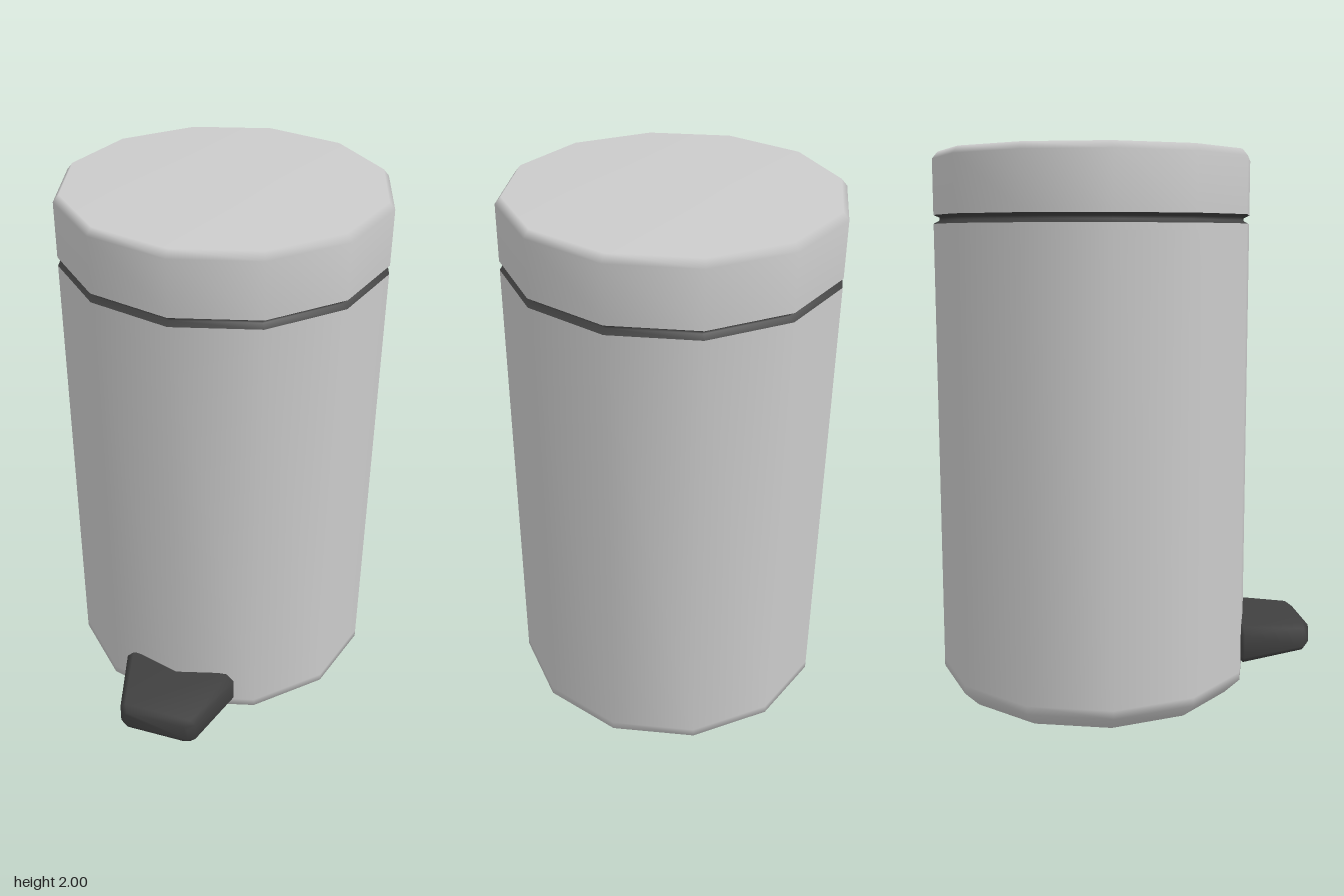
import * as THREE from 'three';

const SIDES = 12;
const CENTER_Z = -0.115;

// Twelve-sided smooth turned part from [radius, height] pairs
function turned(name, profile, material) {
  const points = profile.map(([r, y]) => new THREE.Vector2(r, y));
  const mesh = new THREE.Mesh(new THREE.LatheGeometry(points, SIDES), material);
  mesh.name = name;
  mesh.position.z = CENTER_Z;
  return mesh;
}

// Octagonal cross-sections joined along z, closed at both ends
function loft(sections) {
  const positions = [], index = [];
  const n = 8;
  for (const { z, w, y0, y1, c } of sections) {
    positions.push(
      w, y0 + c, z, w, y1 - c, z, w - c, y1, z, c - w, y1, z,
      -w, y1 - c, z, -w, y0 + c, z, c - w, y0, z, w - c, y0, z);
  }
  for (let s = 0; s < sections.length - 1; s++) {
    for (let i = 0; i < n; i++) {
      const a = s * n + i, b = s * n + (i + 1) % n;
      index.push(a, b, b + n, a, b + n, a + n);
    }
  }
  const last = (sections.length - 1) * n;
  for (let i = 1; i < n - 1; i++) {
    index.push(0, i + 1, i, last, last + i, last + i + 1);
  }
  const geometry = new THREE.BufferGeometry();
  geometry.setAttribute('position', new THREE.Float32BufferAttribute(positions, 3));
  geometry.setIndex(index);
  geometry.computeVertexNormals();
  return geometry;
}

export function createModel() {
  const group = new THREE.Group();
  group.name = 'pedalBin';
  const grey = new THREE.MeshStandardMaterial({ color: 0xcccccc });
  const dark = new THREE.MeshStandardMaterial({ color: 0x404040 });

  // Bin body with a chamfered foot
  group.add(turned('body', [
    [0, 0], [0.5, 0], [0.53, 0.004], [0.587, 0.06], [0.587, 0.09], [0.587, 1.72], [0.587, 1.743],
  ], grey));

  // Dark recessed seam below the lid
  group.add(turned('seam', [
    [0.587, 1.743], [0.565, 1.755], [0.565, 1.765], [0.587, 1.775],
  ], dark));

  // Lid with a small bevel around the top
  group.add(turned('lid', [
    [0.587, 1.775], [0.587, 1.79], [0.587, 1.975], [0.566, 2], [0, 2],
  ], grey));

  // Tapered foot pedal with bevelled ends
  const pedal = new THREE.Mesh(loft([
    { z: 0.415, w: 0.205, y0: 0.1, y1: 0.22, c: 0.02 },
    { z: 0.43, w: 0.22, y0: 0.09, y1: 0.23, c: 0.025 },
    { z: 0.68, w: 0.15, y0: 0.105, y1: 0.217, c: 0.02 },
    { z: 0.705, w: 0.125, y0: 0.125, y1: 0.2, c: 0.012 },
  ]), dark);
  pedal.name = 'pedal';
  group.add(pedal);

  return group;
}
